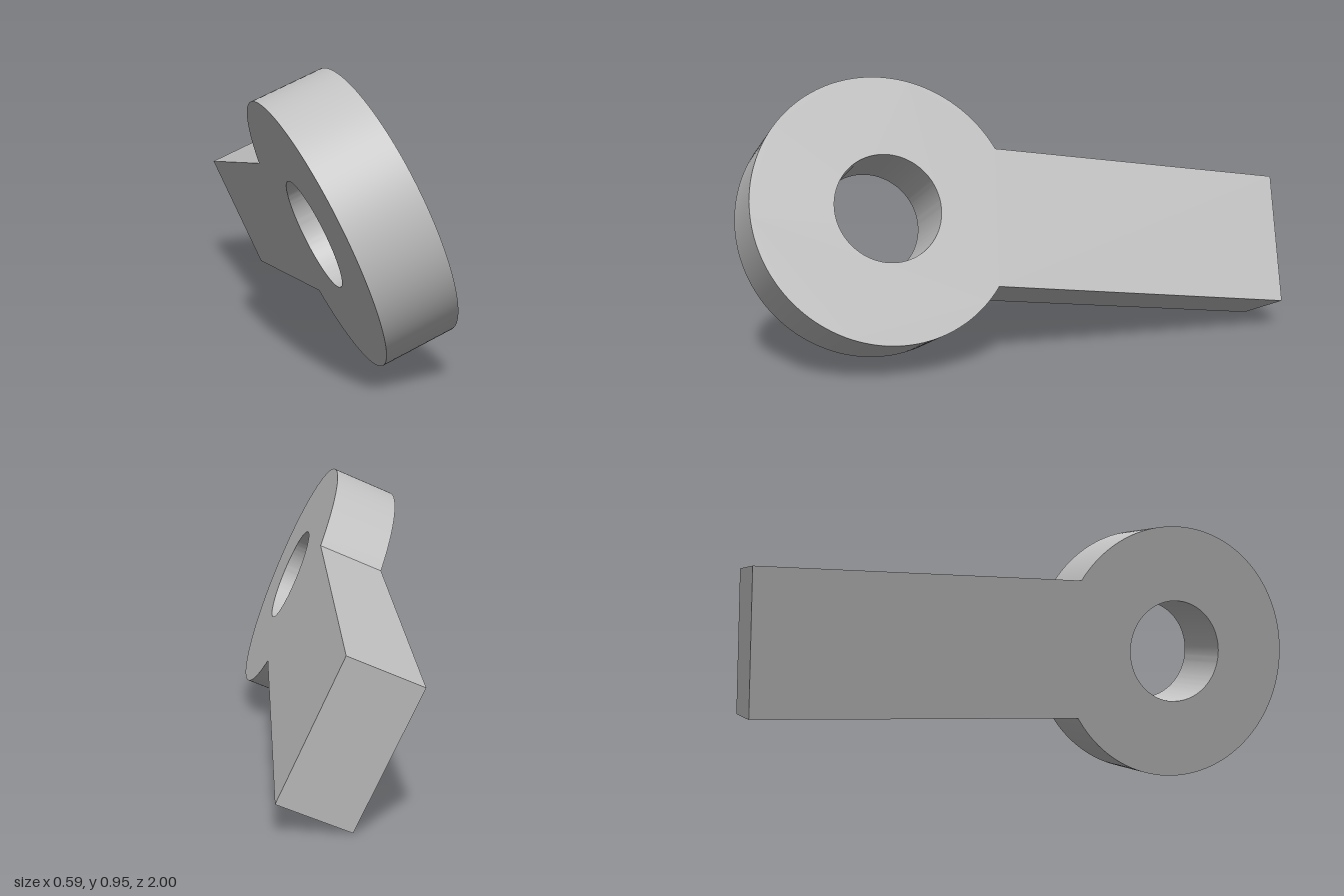
import * as THREE from 'three';
import { toCreasedNormals } from 'three/addons/utils/BufferGeometryUtils.js';

export function createModel() {
  const group = new THREE.Group();
  group.name = 'ringLever';
  const gray = new THREE.MeshStandardMaterial({ color: 0xc2c2c2 });
  gray.name = 'plain gray';

  const ringRadius = 0.454, holeRadius = 0.183, thickness = 0.243;

  // Outline: round eye at the origin with a straight, square-ended arm
  const upper = Math.atan2(0.1796, 0.417);
  const lower = Math.atan2(-0.2994, 0.342) + Math.PI * 2;
  const outline = new THREE.Shape();
  outline.absarc(0, 0, ringRadius, upper, lower, false);
  outline.lineTo(1.472, -0.474);
  outline.lineTo(1.547, 0.005);
  outline.closePath();

  // Through hole in the eye
  const hole = new THREE.Path();
  hole.absarc(0, 0, holeRadius, 0, Math.PI * 2, true);
  outline.holes.push(hole);

  let geometry = new THREE.ExtrudeGeometry(outline, {
    depth: thickness, bevelEnabled: false, curveSegments: 72,
  });
  geometry.translate(0, 0, -thickness / 2);
  geometry.rotateY(Math.PI / 2); // arm runs to the back, thickness along x
  geometry = toCreasedNormals(geometry, 0.4);

  // Whole plate leans sideways
  const lever = new THREE.Mesh(geometry, gray);
  lever.name = 'lever';
  lever.rotation.z = THREE.MathUtils.degToRad(23.5);
  lever.position.set(-0.005, 0.487, 0.547);
  group.add(lever);
  return group;
}
